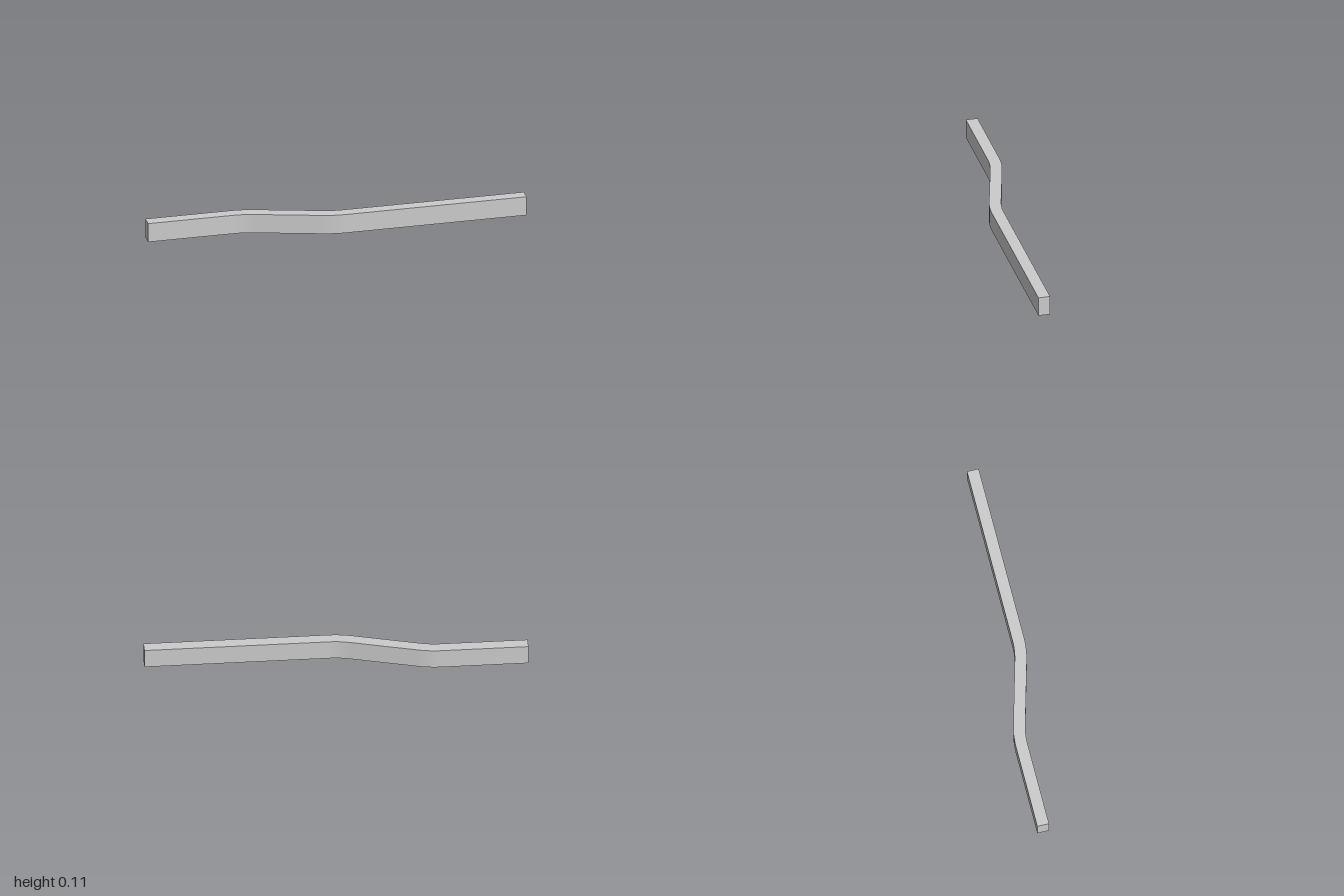
import * as THREE from 'three';
import { toCreasedNormals } from 'three/addons/utils/BufferGeometryUtils.js';

const WIDTH = 0.064, HEIGHT = 0.107, BEND = 0.06, STEPS = 10;

// Centre line of the bar in plan: two parallel runs joined by an oblique one
const corners = [[-0.995, -0.2195], [-0.478, -0.139], [-0.036, 0.06], [0.995, 0.2195]]
  .map(([x, z]) => new THREE.Vector2(x, -z));

// Replace each inner corner by a short smooth bend, keeping point and tangent
function centreLine() {
  const dir = (a, b) => b.clone().sub(a).normalize();
  const line = [{ p: corners[0], t: dir(corners[0], corners[1]) }];
  for (let i = 1; i < corners.length - 1; i++) {
    const c = corners[i], tIn = dir(corners[i - 1], c), tOut = dir(c, corners[i + 1]);
    const curve = new THREE.QuadraticBezierCurve(
      c.clone().addScaledVector(tIn, -BEND), c, c.clone().addScaledVector(tOut, BEND));
    for (let k = 0; k <= STEPS; k++) {
      line.push({ p: curve.getPoint(k / STEPS), t: curve.getTangent(k / STEPS) });
    }
  }
  const n = corners.length - 1;
  line.push({ p: corners[n], t: dir(corners[n - 1], corners[n]) });
  return line;
}

export function createModel() {
  const group = new THREE.Group();
  group.name = 'offsetBar';

  // Plan outline: the centre line offset to both sides
  const line = centreLine();
  const side = (s) => line.map(({ p, t }) =>
    new THREE.Vector2(p.x - t.y * s * WIDTH / 2, p.y + t.x * s * WIDTH / 2));
  const outline = new THREE.Shape([...side(-1), ...side(1).reverse()]);

  // Raise the outline to the bar height, with sharp edges and smooth bends
  const extruded = new THREE.ExtrudeGeometry(outline, { depth: HEIGHT, bevelEnabled: false });
  extruded.rotateX(-Math.PI / 2);
  const bar = new THREE.Mesh(
    toCreasedNormals(extruded, Math.PI / 6),
    new THREE.MeshStandardMaterial({ color: 0xcccccc }));
  bar.name = 'bentBar';
  group.add(bar);
  return group;
}
